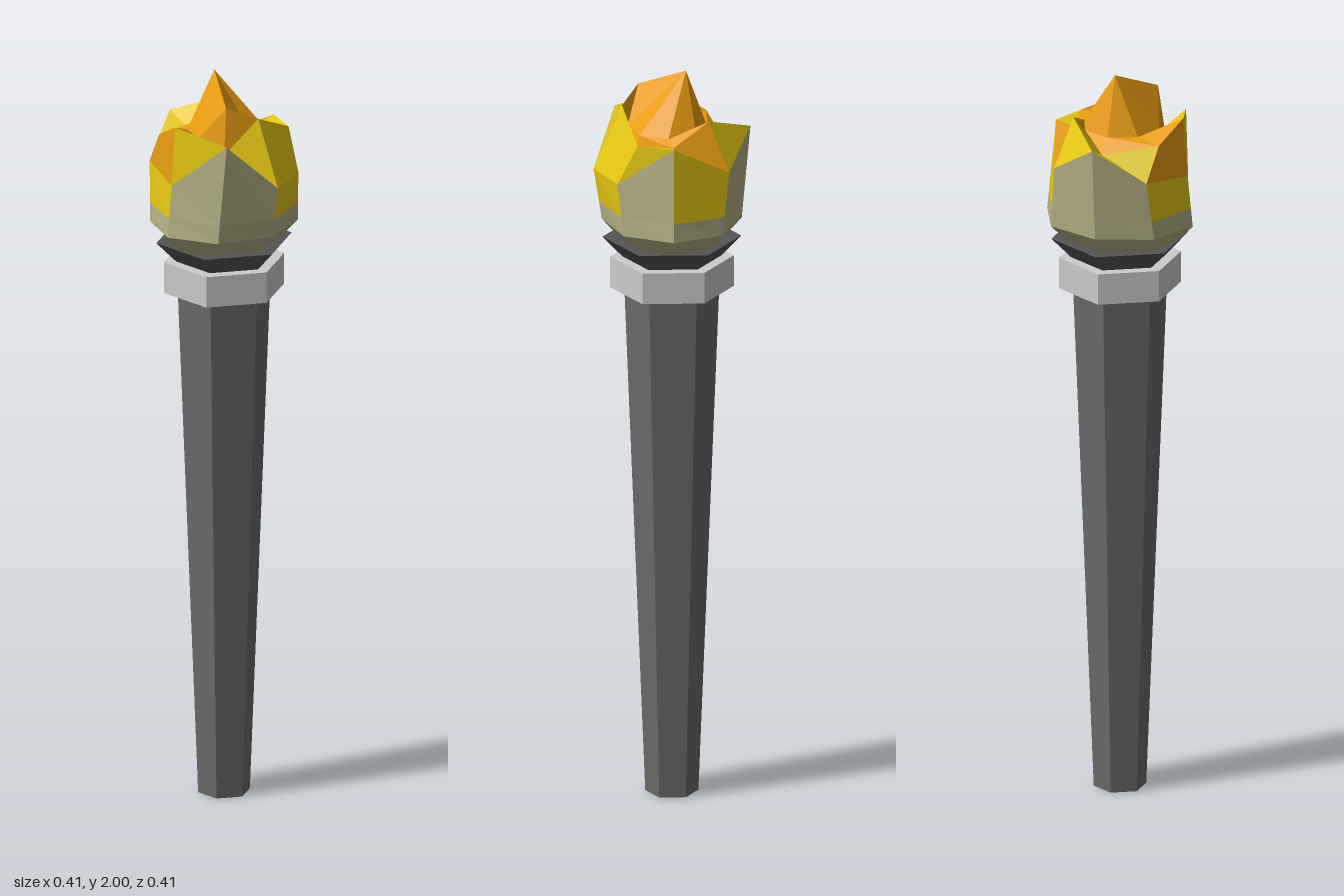
import * as THREE from 'three';

const material = (color) =>
  new THREE.MeshStandardMaterial({ color, flatShading: true, side: THREE.DoubleSide });

// Six-sided tapered prism standing between two heights
function hexPrism(name, rTop, rBottom, y0, y1, color) {
  const geo = new THREE.CylinderGeometry(rTop, rBottom, y1 - y0, 6);
  const mesh = new THREE.Mesh(geo, material(color));
  mesh.name = name;
  mesh.position.y = (y0 + y1) / 2;
  return mesh;
}

// Flat eight-cornered ring of the flame, starting at the front and turning to +x
function octagon(rx, rz, y, cz = 0) {
  return Array.from({ length: 8 }, (_, i) => {
    const a = (i * Math.PI) / 4;
    return [rx * Math.sin(a), y, cz + rz * Math.cos(a)];
  });
}

function createFlame() {
  const flame = new THREE.Group();
  flame.name = 'flame';

  // Cross-sections from the foot to the tip
  const foot = octagon(0.15, 0.135, 1.535);
  const belly = octagon(0.205, 0.184, 1.59);
  const shoulder = [
    [0, 1.73, 0.206], [0.13, 1.73, 0.147], [0.18, 1.84, 0], [0.13, 1.76, -0.147],
    [0, 1.845, -0.207], [-0.13, 1.75, -0.147], [-0.19, 1.73, 0], [-0.13, 1.86, 0.147],
  ];
  const rim = [
    [0, 1.905, 0.131], [0.145, 1.84, 0.094], [0.135, 1.83, 0], [0.095, 1.89, -0.095],
    [0, 1.81, -0.134], [-0.145, 1.84, -0.095], [-0.178, 1.89, 0], [-0.09, 1.815, 0.095],
  ];
  const core = octagon(0.105, 0.105, 1.845, 0.012);
  core[7][1] = 1.94;
  const tip = [0, 2, -0.037];
  // Line where the pale base turns yellow
  const split = belly.map((p, i) => {
    const t = 0.05 / (shoulder[i][1] - p[1]);
    return p.map((v, k) => v + (shoulder[i][k] - v) * t);
  });

  const faces = { pale: [], yellow: [], orange: [] };
  const band = (lower, upper, colorOf) => {
    for (let i = 0; i < 8; i++) {
      const j = (i + 1) % 8;
      faces[colorOf(i)].push(...lower[i], ...lower[j], ...upper[i],
        ...lower[j], ...upper[j], ...upper[i]);
    }
  };
  const yellowPanels = [0, 2, 5];
  const orangePanels = [2, 5];
  band(foot, belly, () => 'pale');
  band(belly, split, () => 'pale');
  band(split, shoulder, (i) => (yellowPanels.includes(i) ? 'yellow' : 'pale'));
  band(shoulder, rim, (i) => (orangePanels.includes(i) ? 'orange' : 'yellow'));
  band(rim, core, () => 'orange');

  // Pointed tip and closed underside
  for (let i = 0; i < 8; i++) {
    const j = (i + 1) % 8;
    faces.orange.push(...core[i], ...core[j], ...tip);
    faces.pale.push(...foot[j], ...foot[i], 0, 1.535, 0);
  }

  const parts = [
    ['flameBase', 'pale', 0xb6b286],
    ['flameOuter', 'yellow', 0xe6c812],
    ['flameCore', 'orange', 0xe89c12],
  ];
  for (const [name, key, color] of parts) {
    const geo = new THREE.BufferGeometry();
    geo.setAttribute('position', new THREE.Float32BufferAttribute(faces[key], 3));
    geo.computeVertexNormals();
    const mesh = new THREE.Mesh(geo, material(color));
    mesh.name = name;
    flame.add(mesh);
  }
  return flame;
}

export function createModel() {
  const torch = new THREE.Group();
  torch.name = 'torch';
  torch.add(
    hexPrism('handle', 0.125, 0.07, 0, 1.4, 0x6a6a6a),
    hexPrism('collar', 0.163, 0.163, 1.4, 1.485, 0xcccccc),
    hexPrism('bowl', 0.183, 0.13, 1.485, 1.54, 0x555555),
    createFlame(),
  );
  return torch;
}
